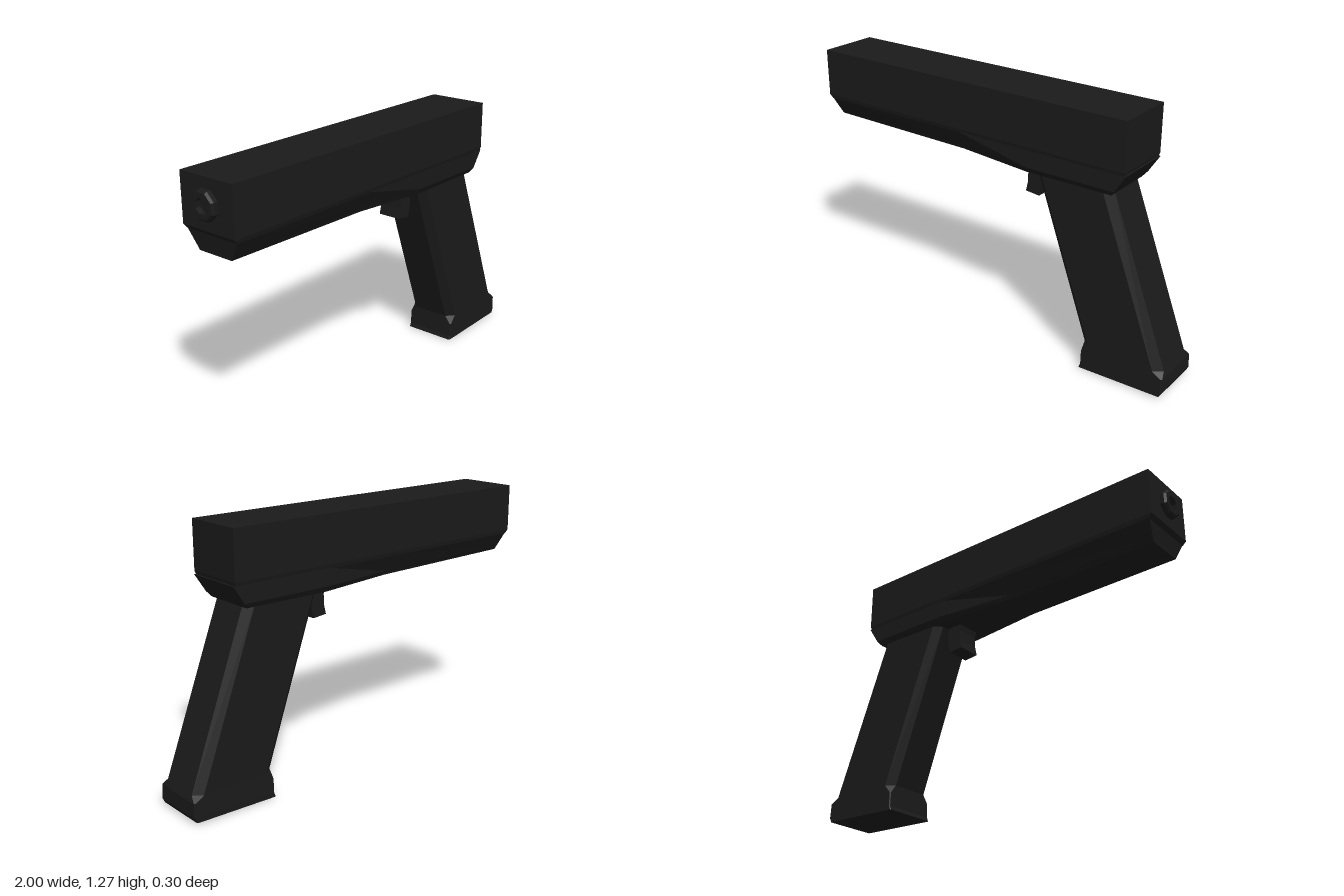
import * as THREE from 'three';

const material = new THREE.MeshStandardMaterial({ color: 0x1a1a1a, flatShading: true });

// Lofts sections of [x, y, halfWidth] points; each is mirrored across z into a closed ring.
function loft(sections) {
  const rings = sections.map((half) => [
    ...half.map(([x, y, z]) => [x, y, z]),
    ...half.slice().reverse().map(([x, y, z]) => [x, y, -z]),
  ]);
  const n = rings[0].length;
  const position = [];
  const quad = (a, b, c, d) => position.push(...a, ...b, ...c, ...a, ...c, ...d);
  for (let i = 0; i < rings.length - 1; i++) {
    for (let j = 0; j < n; j++) {
      const k = (j + 1) % n;
      quad(rings[i][j], rings[i][k], rings[i + 1][k], rings[i + 1][j]);
    }
  }
  // End caps as strips between the mirrored halves
  const first = rings[0];
  const last = rings[rings.length - 1];
  for (let j = 0; j < n / 2 - 1; j++) {
    quad(last[j], last[j + 1], last[n - 2 - j], last[n - 1 - j]);
    quad(first[n - 1 - j], first[n - 2 - j], first[j + 1], first[j]);
  }
  const geometry = new THREE.BufferGeometry();
  geometry.setAttribute('position', new THREE.Float32BufferAttribute(position, 3));
  geometry.computeVertexNormals();
  return geometry;
}

export function createModel() {
  const model = new THREE.Group();
  model.name = 'blaster';
  const add = (name, geometry) => {
    const mesh = new THREE.Mesh(geometry, material);
    mesh.name = name;
    model.add(mesh);
    return mesh;
  };

  // Slide: long box whose lower edge tucks in slightly
  add('slide', loft([
    [[-0.97, 1.27, 0.152], [-0.97, 1.04, 0.152], [-0.955, 1.02, 0.147]],
    [[0.76, 1.27, 0.152], [0.76, 1.04, 0.152], [0.755, 1.02, 0.147]],
  ]));

  // Frame: narrow keel at the muzzle, widening above the trigger, sloped at the rear
  add('frame', loft([
    [[-0.955, 1.025, 0.148], [-0.942, 0.945, 0.103], [-0.94, 0.93, 0.094]],
    [[-0.14, 1.025, 0.148], [-0.14, 0.94, 0.103], [-0.14, 0.92, 0.094]],
    [[0.25, 1.025, 0.148], [0.25, 0.94, 0.146], [0.25, 0.912, 0.13]],
    [[0.765, 1.025, 0.148], [0.71, 0.94, 0.146], [0.69, 0.915, 0.13]],
  ]));

  // Grip: raked, with chamfered corners that square off at the flared foot
  const gripSection = (front, back, yFront, yBack, w, c) => [
    [back, yBack, w - c * 0.85], [back - c, yBack, w],
    [front + c, yFront, w], [front, yFront, w - c * 0.85],
  ];
  add('grip', loft([
    gripSection(0.275, 0.675, 0.95, 0.95, 0.128, 0.04),
    gripSection(0.57, 0.985, 0.13, 0.13, 0.132, 0.04),
    gripSection(0.57, 0.995, 0.09, 0.105, 0.133, 0.006),
    gripSection(0.57, 0.996, 0.02, 0.035, 0.134, 0.004),
    gripSection(0.562, 0.985, 0, 0.012, 0.134, 0.004),
  ]));

  // Trigger: slightly curved blade
  const blade = new THREE.Shape([
    [0.2, 0.93], [0.208, 0.88], [0.207, 0.83], [0.196, 0.782],
    [0.27, 0.775], [0.282, 0.83], [0.283, 0.88], [0.275, 0.93],
  ].map(([x, y]) => new THREE.Vector2(x, y)));
  const trigger = new THREE.ExtrudeGeometry(blade, { depth: 0.12, bevelEnabled: false });
  add('trigger', trigger.translate(0, 0, -0.06));

  // Muzzle: short bevelled octagonal ring around a recessed bore
  const ring = [[0.07, -0.01], [0.07, 0.02], [0.06, 0.03], [0.036, 0.03], [0.036, 0.004], [0, 0.004]]
    .map(([r, y]) => new THREE.Vector2(r, y));
  const muzzle = add('muzzle', new THREE.LatheGeometry(ring, 8, Math.PI / 8));
  muzzle.rotation.z = Math.PI / 2;
  muzzle.position.set(-0.97, 1.155, 0);

  return model;
}
